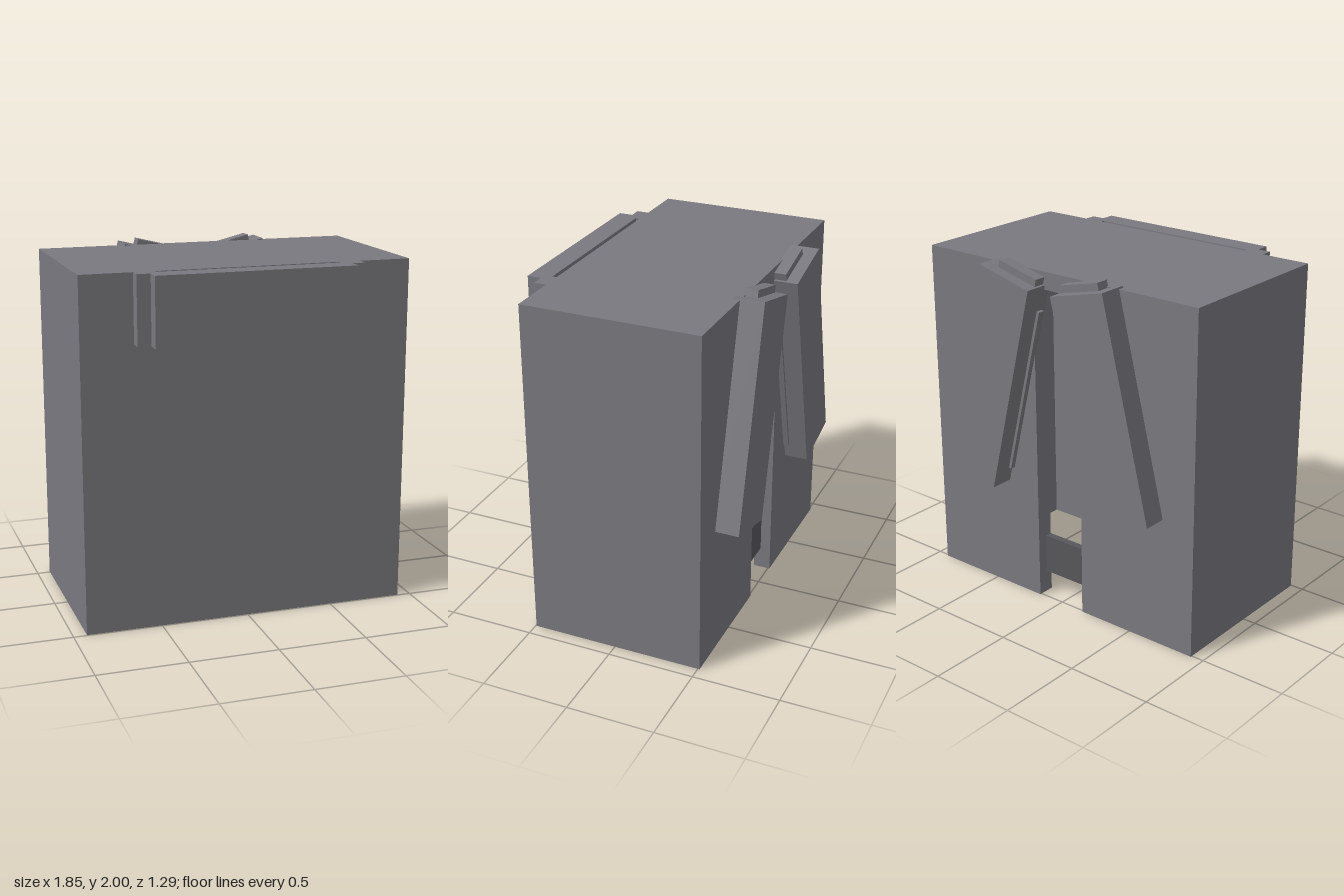
import * as THREE from 'three';

export function createModel() {
  const model = new THREE.Group();
  const grey = new THREE.MeshStandardMaterial({ color: 0x7a797f });
  grey.name = 'grey';
  const darkGrey = new THREE.MeshStandardMaterial({ color: 0x58575b });
  darkGrey.name = 'dark grey';

  // Box given by its minimum and maximum on each axis
  function block(name, [x0, x1], [y0, y1], [z0, z1], material = grey, parent = model) {
    const mesh = new THREE.Mesh(new THREE.BoxGeometry(x1 - x0, y1 - y0, z1 - z0), material);
    mesh.position.set((x0 + x1) / 2, (y0 + y1) / 2, (z0 + z1) / 2);
    mesh.name = name;
    parent.add(mesh);
    return mesh;
  }

  const W = 0.925, BACK = -0.51, FRONT = 0.495, T = 0.1, TOP = 1.97, SLOT = 0.16;

  // Walls: a C-shaped plan, open at the bottom and slotted at the back
  const plan = [
    [SLOT, BACK], [W, BACK], [W, FRONT], [-W, FRONT], [-W, BACK], [-SLOT, BACK],
    [-SLOT, BACK + T], [-W + T, BACK + T], [-W + T, FRONT - T],
    [W - T, FRONT - T], [W - T, BACK + T], [SLOT, BACK + T],
  ];
  const outline = new THREE.Shape(plan.map(([x, z]) => new THREE.Vector2(x, -z)));
  const wallGeometry = new THREE.ExtrudeGeometry(outline, { depth: TOP - T, bevelEnabled: false });
  wallGeometry.rotateX(-Math.PI / 2);
  const walls = new THREE.Mesh(wallGeometry, grey);
  walls.name = 'walls';
  model.add(walls);
  block('topPlate', [-W, W], [TOP - T, TOP], [BACK, FRONT]);

  // Bar across the foot of the back slot
  block('slotBar', [-SLOT, SLOT], [0.13, 0.36], [-0.45, -0.41], darkGrey);

  // Front handle on two posts
  block('handle', [-0.56, 0.56], [1.59, TOP], [0.52, 0.645]);

  for (const side of [1, -1]) {
    const span = (a, b) => (side > 0 ? [a, b] : [-b, -a]);
    block('handlePost', span(0.515, 0.635), [1.59, TOP], [FRONT - 0.01, 0.565]);
    // Thick upper blocks inside the side walls
    block('innerBlock', span(0.62, W - T), [1.52, TOP - T], [BACK + T, FRONT - T]);

    // Back flap, pivoted at its upper outer corner and splayed outwards
    const flap = new THREE.Group();
    flap.name = 'backFlap';
    flap.position.set(side * 0.425, 1.98, 0);
    flap.rotation.z = side * 0.24;
    block('flapPanel', span(-0.358, 0), [-1.256, 0], [-0.645, -0.475], grey, flap);
    block('flapTab', span(-0.345, -0.078), [-0.02, 0.042], [-0.577, -0.5], grey, flap);
    block('flapEdgeStrip', span(-0.375, -0.35), [-1.16, -0.15], [-0.54, -0.5], grey, flap);
    model.add(flap);
  }

  return model;
}
